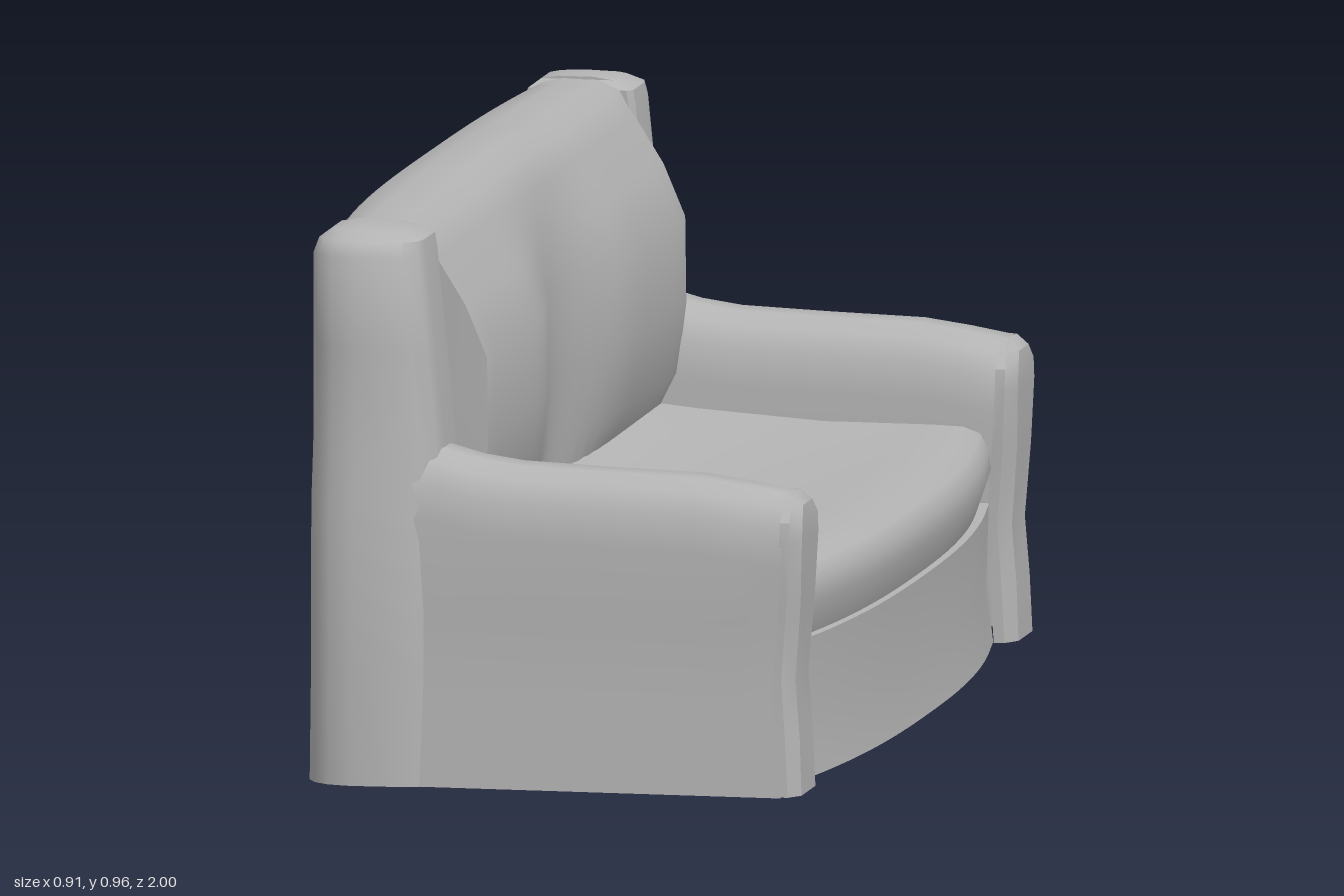
import * as THREE from 'three';
import { toCreasedNormals } from 'three/addons/utils/BufferGeometryUtils.js';

// Skin over a row of cross-sections, each a list of [x, y, z]
function loft(sections, flip = false, crease = 0.75) {
  const n = sections[0].length, index = [];
  for (let i = 0; i < sections.length - 1; i++) {
    for (let j = 0; j < n - 1; j++) {
      const a = i * n + j, b = a + 1, c = a + n, d = c + 1;
      if (flip) index.push(a, c, b, b, c, d);
      else index.push(a, b, c, b, d, c);
    }
  }
  const geo = new THREE.BufferGeometry();
  geo.setAttribute('position', new THREE.Float32BufferAttribute(sections.flat(2), 3));
  geo.setIndex(index);
  return toCreasedNormals(geo, crease);
}

export function createModel() {
  const sofa = new THREE.Group();
  sofa.name = 'sofa';
  const fabric = new THREE.MeshStandardMaterial({ color: 0xb4b4b4, side: THREE.DoubleSide });
  fabric.name = 'grey fabric';

  function add(name, geo) {
    const mesh = new THREE.Mesh(geo, fabric);
    mesh.name = name;
    sofa.add(mesh);
  }

  // Stations along the length, running from +z to -z
  const stations = Array.from({ length: 25 }, (_, i) => 0.81 - (i * 1.62) / 24);
  const bow = (z) => Math.max(0, 1 - Math.pow(Math.abs(z) / 0.8, 2.5));
  const valley = (z) => Math.pow(Math.cos(Math.min(1, Math.abs(z) / 0.4) * Math.PI / 2), 2);
  const acrossLength = (profile) => loft(stations.map((z) => profile(z).map(([x, y]) => [x, y, z])));

  // Backrest: bowed rear, rounded top, front with two soft bulges
  add('backrest', acrossLength((z) => {
    const b = 0.045 * bow(z), v = valley(z), top = 0.008 * v;
    return [
      [-0.41 - b, 0], [-0.395 - b, 0.2], [-0.405 - b, 0.45], [-0.412 - b, 0.92],
      [-0.395 - b * 0.6, 0.945], [-0.36 - b * 0.3, 0.952 + top], [-0.3, 0.95 + top], [-0.26, 0.935],
      [-0.235, 0.89], [-0.185 - 0.03 * v, 0.81], [-0.147 - 0.05 * v, 0.72],
      [-0.145 - 0.05 * v, 0.57], [-0.16 - 0.04 * v, 0.45], [-0.2, 0.37],
    ];
  }));

  // Seat cushion with a soft rolled front
  add('seat', acrossLength((z) => {
    const f = 0.385 + 0.065 * bow(z), dip = 0.015 * bow(z);
    return [
      [-0.22, 0.4], [-0.12, 0.39 - dip], [0.1, 0.375 - dip], [0.28, 0.375 - dip * 0.5],
      [f - 0.045, 0.373], [f - 0.015, 0.362], [f, 0.335], [f + 0.003, 0.3], [f - 0.018, 0.24],
    ];
  }));

  // Flat apron under the cushion
  add('frontApron', acrossLength((z) => {
    const f = 0.385 + 0.06 * bow(z);
    return [[f - 0.02, 0.24], [f, 0.24], [f - 0.005, 0.1], [f + 0.007, 0]];
  }));

  for (const s of [1, -1]) {
    const side = s > 0 ? 'left' : 'right';
    const flip = s < 0;

    // Armrest: inverted U swept from the back post to the front
    const rail = [[-0.3, 0.59], [-0.2, 0.578], [-0.14, 0.562], [-0.07, 0.552], [0.08, 0.546],
      [0.25, 0.541], [0.33, 0.53], [0.405, 0.517]];
    const pinch = (x) => 0.02 * THREE.MathUtils.smoothstep(x, 0.3, 0.405);
    add(side + 'Armrest', loft(rail.map(([x, h]) => [
      [0.8, 0.28], [0.797, h - 0.12], [0.803, h - 0.06], [0.825, h - 0.02], [0.86, h], [0.92, h],
      [0.955, h - 0.02], [0.975, h - 0.06], [0.981, h - 0.12], [0.974, 0.3], [0.975, 0.18], [0.982, 0],
    ].map(([z, y]) => [x - pinch(x) * Math.exp(-Math.pow((y - 0.2) / 0.12, 2)), y, s * z])), flip));

    // Back post: rounded horizontal sections narrowing upward, [y, back, front, outer]
    const levels = [[0, -0.43, -0.2, 0.998], [0.2, -0.428, -0.2, 0.996], [0.48, -0.428, -0.2, 0.994],
      [0.58, -0.428, -0.2, 0.978], [0.75, -0.428, -0.218, 0.976], [0.91, -0.428, -0.234, 0.974],
      [0.935, -0.42, -0.238, 0.96], [0.95, -0.4, -0.265, 0.925], [0.955, -0.37, -0.3, 0.89]];
    const post = levels.map(([y, b, f, o]) => {
      const w = f - b, c = Math.min(0.06, w * 0.3);
      const inner = y > 0.94 ? 0.815 : 0.8;
      return [[b, inner], [b, o - c], [b + c * 0.25, o - c * 0.5], [b + c * 0.7, o - c * 0.15],
        [b + c * 1.4, o], [f - c * 1.4, o - 0.004], [f - c * 0.5, o - c * 0.25],
        [f - c * 0.1, o - c * 0.6], [f, o - c * 1.2], [f, inner + 0.01], [f - 0.01, inner], [b, inner]]
        .map(([x, z]) => [x, y, s * z]);
    });
    post.push(post[0].map(() => [-0.335, 0.957, s * 0.855]));
    add(side + 'BackPost', loft(post, flip));

    // Bevelled panel closing the arm, [y, rear, front, inner, outer]
    const rows = [[0, 0.395, 0.432, 0.8, 0.972], [0.1, 0.388, 0.428, 0.802, 0.968],
      [0.2, 0.382, 0.42, 0.802, 0.966], [0.33, 0.392, 0.43, 0.796, 0.97],
      [0.44, 0.4, 0.434, 0.785, 0.978], [0.475, 0.4, 0.434, 0.79, 0.972],
      [0.5, 0.4, 0.43, 0.815, 0.95], [0.515, 0.4, 0.415, 0.835, 0.935], [0.517, 0.395, 0.396, 0.84, 0.93]];
    add(side + 'ArmFrontPanel', loft(rows.map(([y, r, f, i, o]) => [
      [r, o], [(r + f) / 2, o], [f, o - 0.028], [f, i + 0.03], [(r + f) / 2, i], [r, i],
    ].map(([x, z]) => [x, y, s * z])), flip, 0.5));
  }
  return sofa;
}
